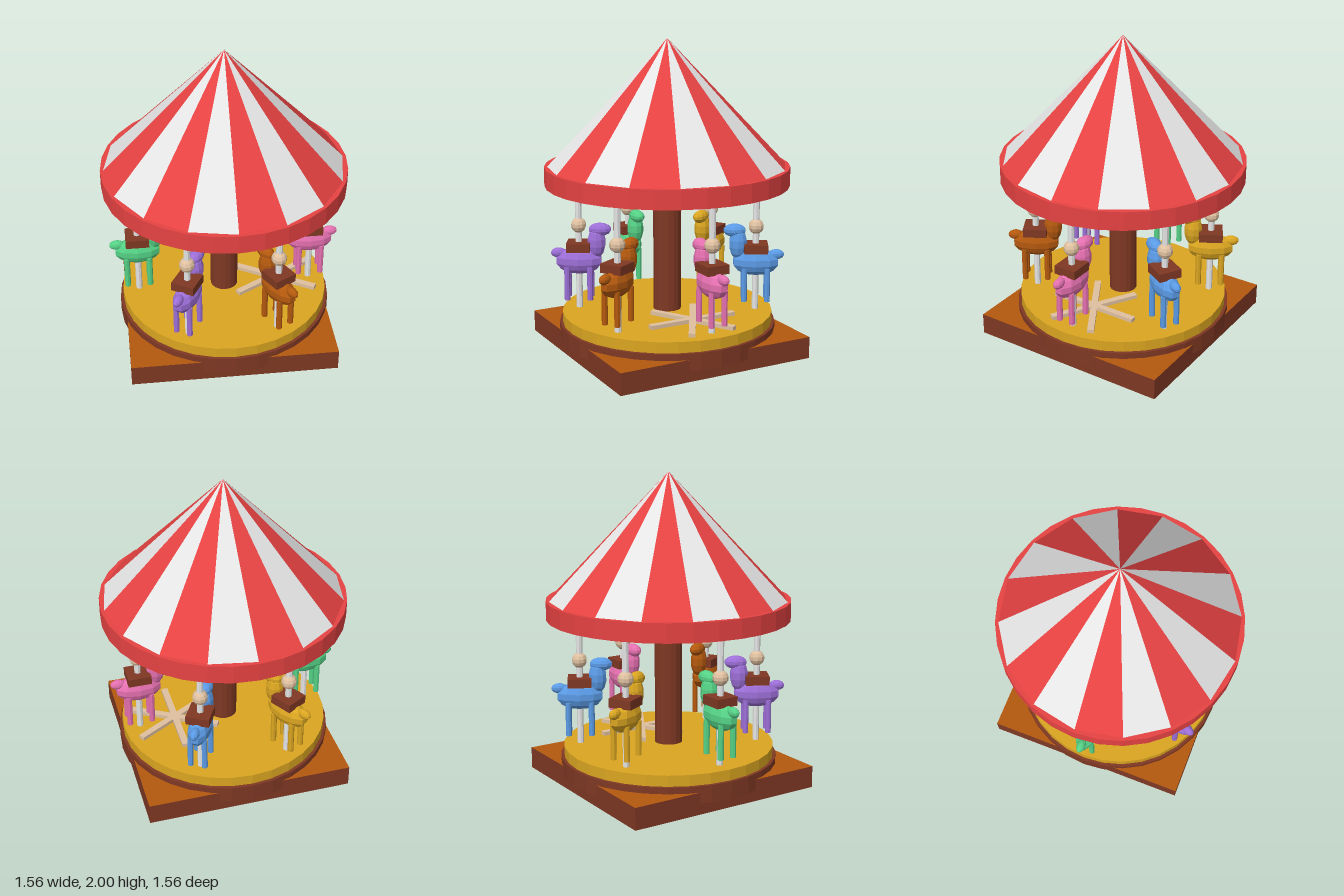
import * as THREE from 'three';

const mat = (name, color) => {
  const m = new THREE.MeshStandardMaterial({ color });
  m.name = name;
  return m;
};

// Faceted copy of a geometry
const flat = (geo) => {
  const g = geo.index ? geo.toNonIndexed() : geo;
  g.computeVertexNormals();
  return g;
};

export function createModel() {
  const red = mat('canopy red', 0xe64242);
  const white = mat('silver white', 0xe5e5e5);
  const brown = mat('dark wood', 0x7f3823);
  const amber = mat('amber wood', 0xb4590e);
  const gold = mat('gold', 0xdaa520);
  const tan = mat('tan', 0xdfc0a0);
  const green = mat('green', 0x55d286);
  const blue = mat('blue', 0x5b9be6);
  const purple = mat('purple', 0x9d6fd8);
  const pink = mat('pink', 0xe570b0);

  const add = (parent, name, geo, material, x = 0, y = 0, z = 0) => {
    const mesh = new THREE.Mesh(geo, material);
    mesh.name = name;
    mesh.position.set(x, y, z);
    parent.add(mesh);
    return mesh;
  };
  // Faceted cylinder between two heights
  const drum = (parent, name, r, y0, y1, sides, material, x = 0, z = 0) =>
    add(parent, name, flat(new THREE.CylinderGeometry(r, r, y1 - y0, sides)), material, x, (y0 + y1) / 2, z);
  // Faceted ellipsoid
  const blob = (parent, name, rx, ry, rz, material, y, z) =>
    add(parent, name, flat(new THREE.SphereGeometry(1, 10, 7).scale(rx, ry, rz)), material, 0, y, z);

  const model = new THREE.Group();
  model.name = 'carousel';

  // Square plinth with an amber top, then the round platform
  add(model, 'plinth', new THREE.BoxGeometry(1.33, 0.14, 1.33),
    [brown, brown, amber, brown, brown, brown], 0, 0.07, 0);
  drum(model, 'platformStep', 0.7, 0.07, 0.18, 32, brown);
  drum(model, 'platformDeck', 0.68, 0.18, 0.25, 32, gold);
  drum(model, 'centrePost', 0.09, 0.25, 1.08, 16, brown);

  // Flat star of crossed bars lying on the deck
  const star = new THREE.Group();
  star.name = 'deckStar';
  star.position.set(0.336, 0.2625, 0);
  for (let i = 0; i < 3; i++) {
    const bar = add(star, 'starBar', new THREE.BoxGeometry(0.042, 0.025, 0.6), tan);
    bar.rotation.y = i * Math.PI / 3;
  }
  model.add(star);

  // Canopy rim and striped cone
  drum(model, 'canopyRim', 0.78, 1.08, 1.2, 32, red);
  const cone = new THREE.ConeGeometry(0.76, 0.8, 16, 1, true);
  cone.clearGroups();
  for (let i = 0; i < 16; i++) cone.addGroup(i * 3, 3, i % 2);
  add(model, 'canopyRoof', flat(cone), [red, white], 0, 1.6, 0);

  // One horse with its pole, facing local +z
  const makeHorse = (color) => {
    const h = new THREE.Group();
    drum(h, 'pole', 0.021, 0.25, 1.08, 8, white);
    blob(h, 'body', 0.074, 0.09, 0.155, color, 0.565, 0);
    blob(h, 'neck', 0.055, 0.105, 0.06, color, 0.685, 0.115);
    blob(h, 'head', 0.045, 0.043, 0.075, color, 0.772, 0.138);
    blob(h, 'tail', 0.03, 0.033, 0.052, color, 0.615, -0.132);
    add(h, 'saddle', new THREE.BoxGeometry(0.15, 0.057, 0.152), brown, 0, 0.661, 0);
    blob(h, 'riderBall', 0.05, 0.05, 0.05, tan, 0.8, 0);
    for (const x of [-0.046, 0.046])
      for (const z of [-0.074, 0.074]) drum(h, 'leg', 0.019, 0.31, 0.53, 8, color, x, z);
    return h;
  };

  // Six horses around the deck, all looking at the post
  const colors = [pink, amber, purple, green, gold, blue];
  colors.forEach((color, i) => {
    const a = i * Math.PI / 3;
    const horse = makeHorse(color);
    horse.name = `horse${i + 1}`;
    horse.position.set(0.572 * Math.cos(a), 0, 0.572 * Math.sin(a));
    horse.rotation.y = Math.atan2(-Math.cos(a), -Math.sin(a));
    model.add(horse);
  });

  return model;
}
